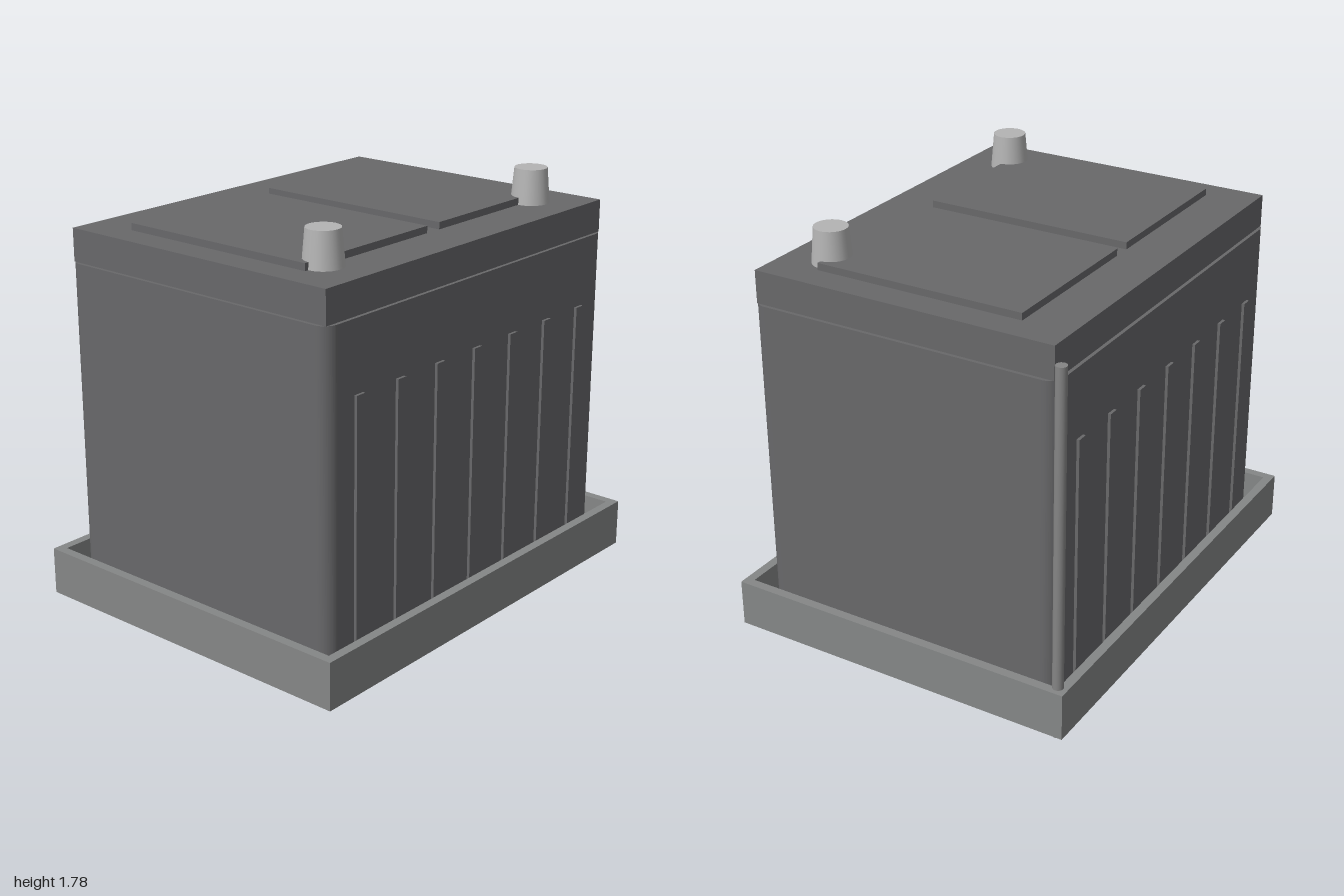
import * as THREE from 'three';

const dark = new THREE.MeshStandardMaterial({ color: 0x68686a });
const trayGrey = new THREE.MeshStandardMaterial({ color: 0x858787, side: THREE.DoubleSide });
const rodGrey = new THREE.MeshStandardMaterial({ color: 0x858585 });
const metal = new THREE.MeshStandardMaterial({ color: 0xb4b4b4 });

function add(parent, name, geometry, material, x, y, z) {
  const mesh = new THREE.Mesh(geometry, material);
  mesh.name = name;
  mesh.position.set(x, y, z);
  parent.add(mesh);
  return mesh;
}

// Rectangle centred on the origin, with rounded corners when r > 0
function rectangle(w, d, r, target = new THREE.Shape()) {
  const x = w / 2, y = d / 2;
  target.moveTo(-x + r, -y);
  target.lineTo(x - r, -y);
  if (r) target.absarc(x - r, -y + r, r, -Math.PI / 2, 0);
  target.lineTo(x, y - r);
  if (r) target.absarc(x - r, y - r, r, 0, Math.PI / 2);
  target.lineTo(-x + r, y);
  if (r) target.absarc(-x + r, y - r, r, Math.PI / 2, Math.PI);
  target.lineTo(-x, -y + r);
  if (r) target.absarc(-x + r, -y + r, r, Math.PI, Math.PI * 1.5);
  target.closePath();
  return target;
}

// Extrude a plan outline upwards
function extrudeUp(shape, height) {
  return new THREE.ExtrudeGeometry(shape, { depth: height, bevelEnabled: false, curveSegments: 8 })
    .rotateX(-Math.PI / 2);
}

export function createModel() {
  const model = new THREE.Group();
  model.name = 'batteryOnTray';

  // Open tray: floor and raised rim
  const tray = new THREE.Group();
  tray.name = 'tray';
  model.add(tray);
  add(tray, 'trayFloor', new THREE.BoxGeometry(2, 0.04, 1.56), trayGrey, 0, 0.04, 0);
  const rim = rectangle(2, 1.56, 0);
  rim.holes.push(rectangle(1.92, 1.48, 0, new THREE.Path()));
  add(tray, 'trayRim', extrudeUp(rim, 0.165), trayGrey, 0, 0.06, 0);

  // Case with rounded upright edges, and the lid set slightly in
  add(model, 'case', extrudeUp(rectangle(1.815, 1.375, 0.06), 1.43), dark, 0, 0.06, 0);
  add(model, 'lid', new THREE.BoxGeometry(1.785, 0.14, 1.345), dark, 0, 1.56, 0);

  // Stiffening ribs on the front and back
  const ribGeometry = new THREE.BoxGeometry(0.048, 1.135, 0.03);
  for (const side of [1, -1]) {
    for (let i = -3; i <= 3; i++) {
      add(model, side > 0 ? 'frontRib' : 'backRib', ribGeometry, dark, i * 0.2425, 0.6275, side * 0.685);
    }
  }

  // Cell covers and tapered terminals
  const coverGeometry = new THREE.BoxGeometry(0.728, 0.03, 0.925);
  const postGeometry = new THREE.CylinderGeometry(0.07, 0.083, 0.15, 32);
  for (const side of [1, -1]) {
    const prefix = side > 0 ? 'left' : 'right';
    add(model, prefix + 'CellCover', coverGeometry, dark, side * 0.403, 1.645, 0);
    add(model, prefix + 'Terminal', postGeometry, metal, side * 0.667, 1.705, 0.465);
  }

  // Hold-down rod through the back corner of the tray
  add(model, 'holdDownRod', new THREE.CylinderGeometry(0.023, 0.023, 1.597, 20), rodGrey, 0.957, 0.7985, -0.737);

  return model;
}
